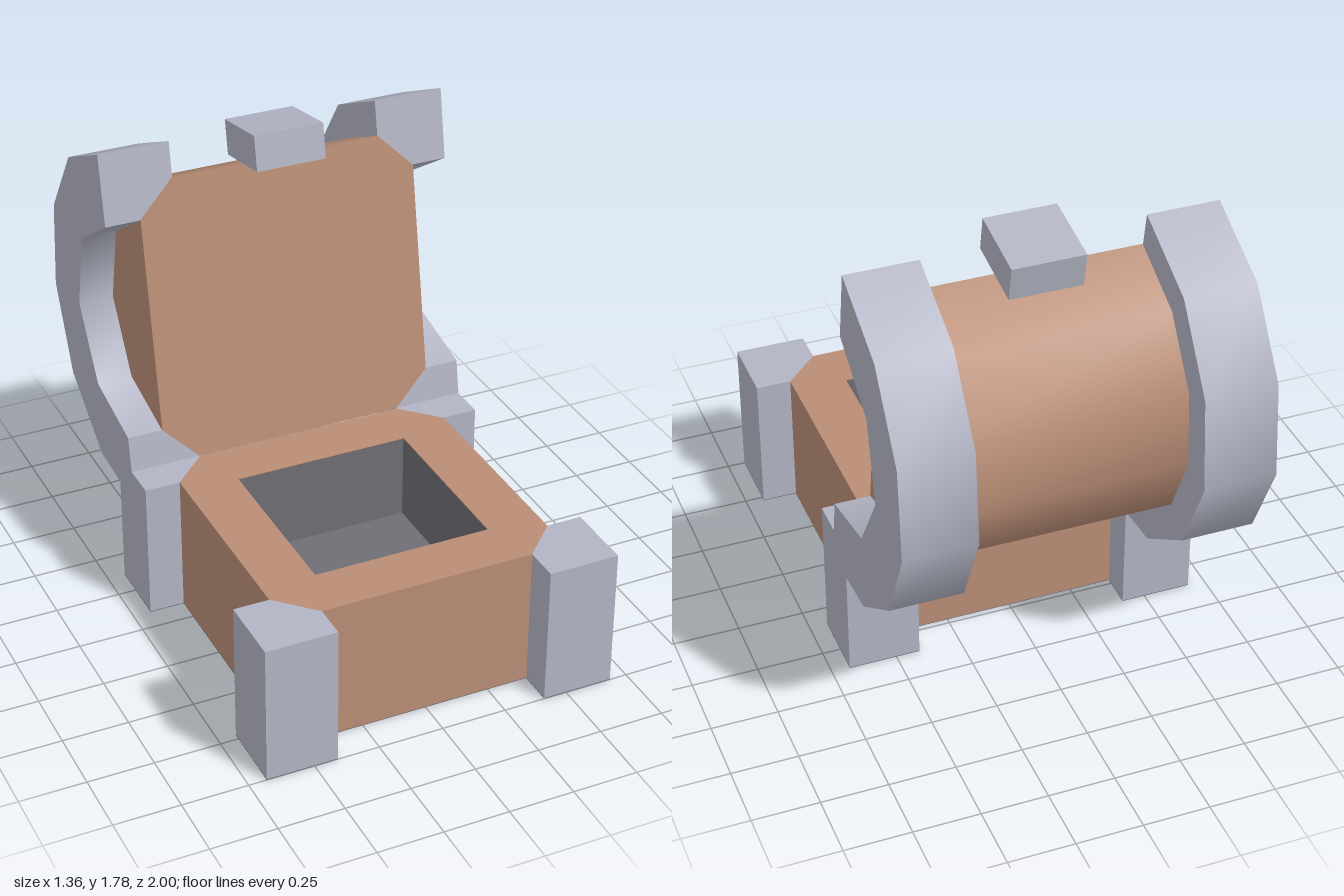
import * as THREE from 'three';
import { toCreasedNormals } from 'three/addons/utils/BufferGeometryUtils.js';

const wood = new THREE.MeshStandardMaterial({ color: 0xb98d76 });
const metal = new THREE.MeshStandardMaterial({ color: 0xb2b4c4 });
const dark = new THREE.MeshStandardMaterial({ color: 0x6e6e74 });

const IN = 0.41, MID = 0.547, OUT = 0.682; // post inner edge, wood face, post outer edge
const HEIGHT = 0.546, SKIN = 0.003;

const shapeOf = pts => new THREE.Shape(pts.map(([x, y]) => new THREE.Vector2(x, y)));
const extrude = (shape, depth) =>
  new THREE.ExtrudeGeometry(shape, { depth, bevelEnabled: false });
// Extrudes a floor plan upwards from y0 to y1
const rise = (shape, y0, y1) =>
  extrude(shape, y1 - y0).rotateX(-Math.PI / 2).translate(0, y0, 0);

function add(parent, name, geometry, material) {
  const mesh = new THREE.Mesh(geometry, material);
  mesh.name = name;
  parent.add(mesh);
  return mesh;
}

// Repeats corner points for all four quadrants, walking anticlockwise
function fourCorners(corner) {
  const pts = [];
  for (const [sx, sy] of [[1, 1], [-1, 1], [-1, -1], [1, -1]]) {
    const c = corner.map(([x, y]) => [x * sx, y * sy]);
    pts.push(...(sx * sy > 0 ? c : c.reverse()));
  }
  return shapeOf(pts);
}
const octagon = () => fourCorners([[MID, IN], [IN, MID]]);

// Half circle in the lid's cross-section
function arc(radius, segments) {
  return Array.from({ length: segments + 1 }, (_, i) => {
    const a = -Math.PI / 2 + (Math.PI * i) / segments;
    return [radius * Math.cos(a), radius * Math.sin(a)];
  });
}

// Extrudes a lid cross-section sideways from x0 to x1
function across(pts, x0, x1) {
  const g = extrude(shapeOf(pts), x1 - x0);
  g.rotateY(Math.PI / 2).translate(x0, 0, 0);
  return toCreasedNormals(g, 0.9);
}

function makeBase() {
  const base = new THREE.Group();
  base.name = 'base';
  base.position.z = 0.318;

  // Wooden box with a square opening
  const half = 0.341, floor = 0.21;
  const body = octagon();
  body.holes.push(fourCorners([[half, half]]));
  add(base, 'box', rise(body, SKIN, HEIGHT), wood);

  // Lined compartment: a floor and four walls facing inwards
  const lining = new THREE.Group();
  lining.name = 'compartment';
  base.add(lining);
  add(lining, 'compartmentFloor', rise(fourCorners([[half, half]]), SKIN, floor), dark);
  for (let i = 0; i < 4; i++) {
    const wall = new THREE.PlaneGeometry(2 * half, HEIGHT - floor);
    wall.translate(0, (HEIGHT + floor) / 2, SKIN - half).rotateY((i * Math.PI) / 2);
    add(lining, 'compartmentWall', wall, dark);
  }

  // Corner posts
  for (const sx of [1, -1]) for (const sz of [1, -1]) {
    const post = [[IN, MID], [IN, OUT], [OUT, OUT], [OUT, IN], [MID, IN]]
      .map(([x, y]) => [x * sx, y * sz]);
    add(base, 'cornerPost', rise(shapeOf(post), SKIN, HEIGHT), metal);
  }

  // Thin plate under box and posts
  const outline = fourCorners([[MID, IN], [OUT, IN], [OUT, OUT], [IN, OUT], [IN, MID]]);
  add(base, 'underside', rise(outline, 0, SKIN), dark);
  return base;
}

function makeLid() {
  const lid = new THREE.Group();
  lid.name = 'lid';
  lid.position.set(0, 1.085, -0.327);
  lid.rotation.x = -Math.PI / 18;

  // Rounded wooden barrel, its recessed ends and the flat inner face
  add(lid, 'barrel', across(arc(MID, 6), -IN, IN), wood);
  add(lid, 'barrelEnds', across(arc(IN, 4), -MID, MID), wood);
  add(lid, 'innerFace', extrude(octagon(), SKIN), wood);

  // Curved straps at both ends
  const strap = [...arc(OUT, 6), ...arc(IN, 4).reverse()];
  add(lid, 'leftStrap', across(strap, IN, OUT), metal);
  add(lid, 'rightStrap', across(strap, -OUT, -IN), metal);

  // Clasp on the free edge
  add(lid, 'clasp', new THREE.BoxGeometry(0.272, OUT - MID, 0.275), metal)
    .position.set(0, (OUT + MID) / 2, 0.003);
  return lid;
}

export function createModel() {
  const chest = new THREE.Group();
  chest.name = 'chest';
  chest.add(makeBase(), makeLid());
  return chest;
}
